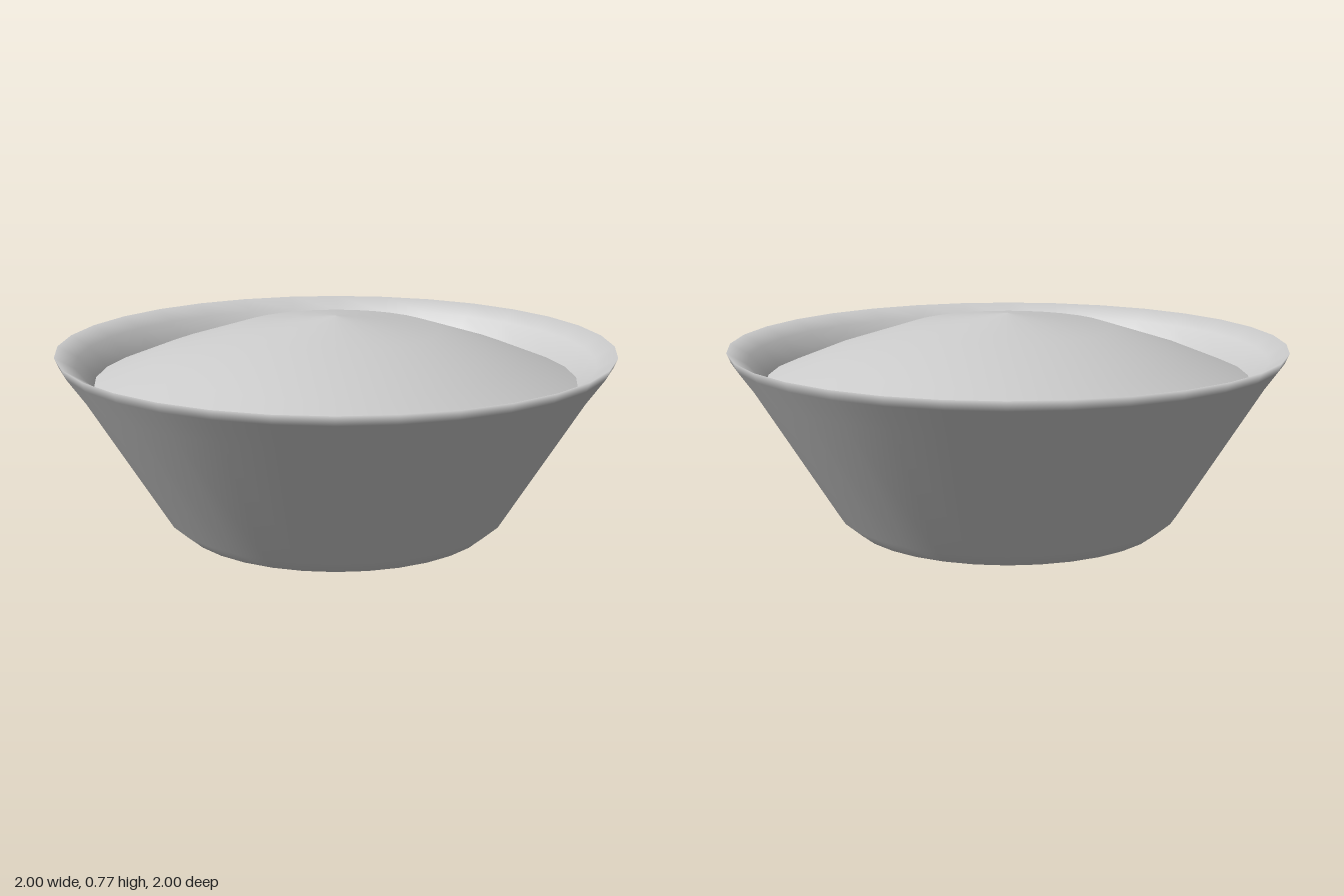
import * as THREE from 'three';

const SEGMENTS = 32;

function lathe(name, points, material) {
  const profile = points.map(([r, y]) => new THREE.Vector2(r, y));
  const mesh = new THREE.Mesh(new THREE.LatheGeometry(profile, SEGMENTS), material);
  mesh.name = name;
  return mesh;
}

export function createModel() {
  const group = new THREE.Group();
  group.name = 'filledBowl';
  const material = new THREE.MeshStandardMaterial({ color: 0xcccccc, side: THREE.DoubleSide });

  // Bowl wall: foot recess, chamfered foot, flared outside, thin lip, inside
  group.add(lathe('bowl', [
    [0.575, 0.09], [0.56, 0], [0.62, 0.05], [0.92, 0.53], [0.985, 0.62], [1, 0.655],
    [0.93, 0.615], [0.865, 0.54], [0.575, 0.09],
  ], material));

  // Domed filling, its edge sunk into the wall
  group.add(lathe('filling', [
    [0.88, 0.535], [0.66, 0.624], [0.37, 0.718], [0, 0.768],
  ], material));

  // Recessed underside of the bowl
  const base = new THREE.Mesh(new THREE.CircleGeometry(0.575, SEGMENTS), material);
  base.name = 'base';
  base.rotation.x = Math.PI / 2;
  base.position.y = 0.09;
  group.add(base);

  return group;
}
